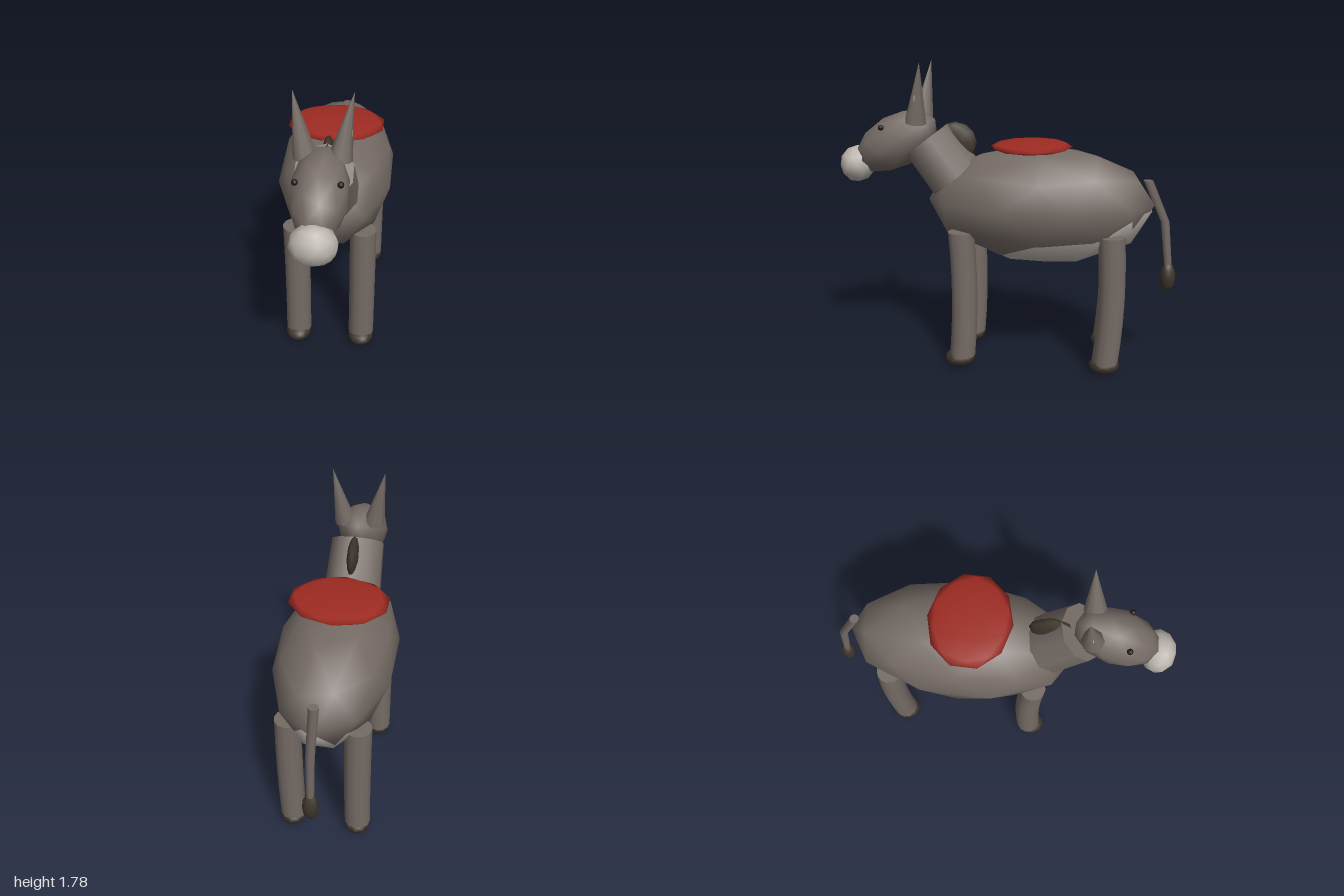
import * as THREE from 'three';

const material = (name, color) => {
  const m = new THREE.MeshStandardMaterial({ color });
  m.name = name;
  return m;
};

// Coarse smooth ball: an icosahedron standing on a corner, divided once
function makeBall() {
  const ring = (y, turn) => [0, 1, 2, 3, 4].flatMap(i => {
    const a = (i + turn) * Math.PI * 0.4;
    return [0.894 * Math.cos(a), y, -0.894 * Math.sin(a)];
  });
  const corners = [0, 1, 0, ...ring(0.447, 0), ...ring(-0.447, 0.5), 0, -1, 0];
  const faces = [];
  for (let i = 0; i < 5; i++) {
    const j = (i + 1) % 5, u = 1 + i, v = 1 + j, l = 6 + i, m = 6 + j;
    faces.push(0, u, v, u, l, v, l, m, v, 11, m, l);
  }
  return new THREE.PolyhedronGeometry(corners, faces, 1, 1);
}

export function createModel() {
  const model = new THREE.Group();
  const coat = material('grey brown coat', 0x756b65);
  const pale = material('pale fur', 0xbab4ac);
  const dark = material('dark hair and hoof', 0x3d352b);
  const red = material('red saddle cloth', 0x9e2b22);
  const black = material('black eye', 0x1c1815);
  const ball = makeBall();

  const add = (name, geometry, mat, position = [0, 0, 0]) => {
    const mesh = new THREE.Mesh(geometry, mat);
    mesh.name = name;
    mesh.position.set(...position);
    model.add(mesh);
    return mesh;
  };
  const ellipsoid = (name, mat, position, radii, tilt = 0) => {
    const mesh = add(name, ball, mat, position);
    mesh.scale.set(...radii);
    mesh.rotation.x = tilt;
    return mesh;
  };
  // Closed tapered cylinder between two points
  const rod = (name, mat, from, to, rFrom, rTo, sides) => {
    const a = new THREE.Vector3(...from), b = new THREE.Vector3(...to);
    const dir = b.clone().sub(a);
    const mesh = add(name, new THREE.CylinderGeometry(rTo, rFrom, dir.length(), sides), mat);
    mesh.position.copy(a).add(b).multiplyScalar(0.5);
    mesh.quaternion.setFromUnitVectors(new THREE.Vector3(0, 1, 0), dir.normalize());
    return mesh;
  };
  // Upright limb whose slices shift in z by a rule of height
  const bentLimb = (name, x, low, high, rLow, rHigh, sides, steps, zAt) => {
    const g = new THREE.CylinderGeometry(rHigh, rLow, high - low, sides, steps);
    g.translate(x, (low + high) / 2, 0);
    const p = g.attributes.position;
    for (let i = 0; i < p.count; i++) p.setZ(i, p.getZ(i) + zAt(p.getY(i)));
    return add(name, g, coat);
  };

  // Trunk
  ellipsoid('body', coat, [0, 0.975, -0.197], [0.345, 0.34, 0.665]);
  ellipsoid('belly', pale, [0, 0.94, -0.23], [0.31, 0.33, 0.62]);
  ellipsoid('saddleCloth', red, [0, 1.305, -0.145], [0.285, 0.03, 0.237]);

  // Neck, mane and head
  rod('neck', coat, [0, 1.11, 0.3], [0, 1.33, 0.47], 0.172, 0.16, 10);
  ellipsoid('mane', dark, [0, 1.32, 0.3], [0.036, 0.12, 0.125]);
  ellipsoid('head', coat, [0, 1.318, 0.655], [0.152, 0.155, 0.27], 0.52);
  ellipsoid('muzzle', pale, [0, 1.18, 0.897], [0.125, 0.11, 0.103]);

  for (const side of [-1, 1]) {
    const label = side > 0 ? 'left' : 'right';
    ellipsoid(label + 'Eye', black, [side * 0.112, 1.41, 0.715], [0.017, 0.017, 0.017]);
    rod(label + 'Ear', coat, [side * 0.088, 1.44, 0.515], [side * 0.152, 1.785, 0.47], 0.064, 0, 8);
    ellipsoid(label + 'InnerEar', pale, [side * 0.132, 1.58, 0.503], [0.018, 0.06, 0.012], -0.1);

    // Legs bow gently, with a rounded hoof at each foot
    for (const [part, top, mid, foot, hoofZ] of [
      ['Front', 0.24, 0.223, 0.24, 0.255],
      ['Hind', -0.62, -0.63, -0.603, -0.6],
    ]) {
      const bow = y => {
        const t = (y - 0.07) / 0.76;
        return foot + (top - foot) * t + (mid - (top + foot) / 2) * 4 * t * (1 - t);
      };
      bentLimb(label + part + 'Leg', side * 0.193, 0.07, 0.83, 0.076, 0.076, 12, 6, bow);
      ellipsoid(label + part + 'Hoof', dark, [side * 0.193, 0.054, hoofZ], [0.078, 0.054, 0.09]);
    }
  }

  // Tail bends once, then ends in a tuft
  bentLimb('tail', 0, 0.58, 1.12, 0.021, 0.028, 8, 9, y =>
    y > 0.88 ? -0.925 + (y - 0.88) * 0.44 : -0.925 - (0.88 - y) * 0.11);
  ellipsoid('tailTuft', dark, [0, 0.545, -0.955], [0.045, 0.09, 0.045]);

  return model;
}
